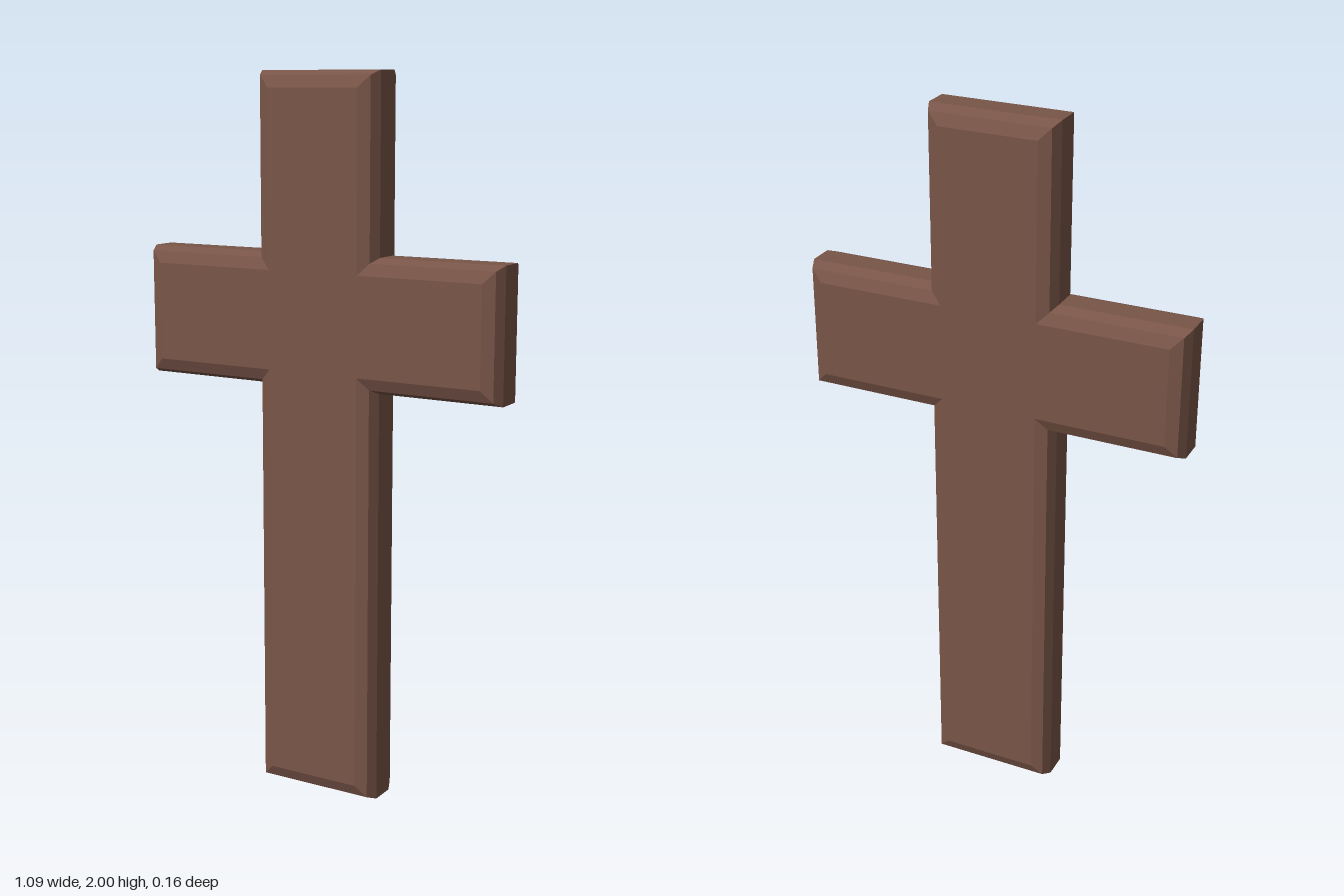
import * as THREE from 'three';

export function createModel() {
  const model = new THREE.Group();
  model.name = 'cross';

  const brown = new THREE.MeshStandardMaterial({ color: 0x795548 });
  brown.name = 'brown wood';

  // Outline: right half from bottom to top, mirrored for the left half
  const stem = 0.181, arm = 0.543, armBottom = 1.157, armTop = 1.519, height = 2;
  const half = [
    [stem, 0], [stem, armBottom], [arm, armBottom],
    [arm, armTop], [stem, armTop], [stem, height],
  ];
  const mirrored = half.map(([x, y]) => [-x, y]).reverse();
  const outline = new THREE.Shape([...half, ...mirrored].map(([x, y]) => new THREE.Vector2(x, y)));

  // Slab with two-step bevelled edges on front and back
  const bevel = 0.045, depth = 0.071;
  const geometry = new THREE.ExtrudeGeometry(outline, {
    depth,
    bevelEnabled: true,
    bevelThickness: bevel,
    bevelSize: bevel,
    bevelOffset: -bevel,
    bevelSegments: 2,
  });
  geometry.translate(0, 0, -depth / 2);

  const body = new THREE.Mesh(geometry, brown);
  body.name = 'crossBody';
  model.add(body);
  return model;
}
